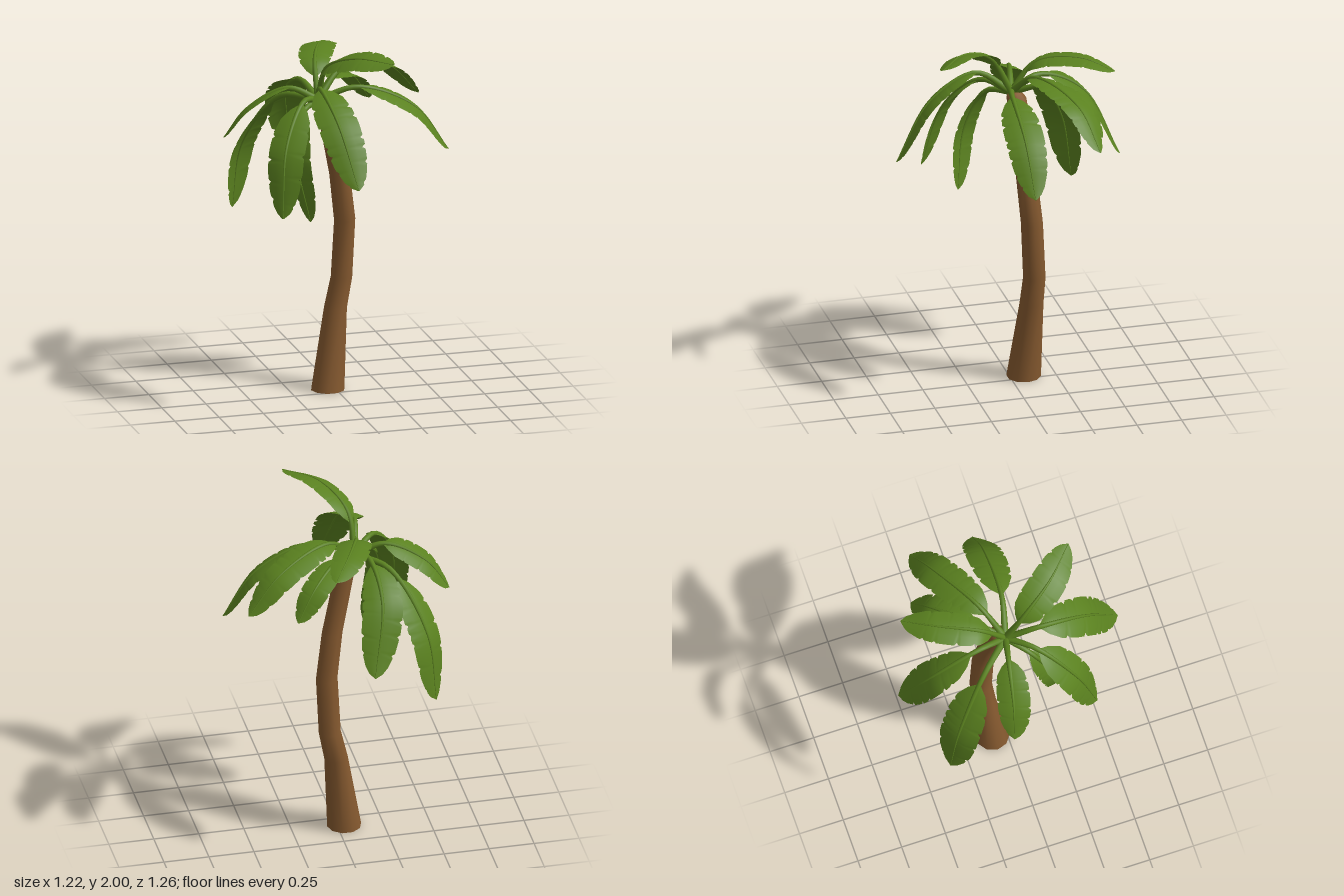
import * as THREE from 'three';

const V = (x, y, z) => new THREE.Vector3(x, y, z);
const UP = V(0, 1, 0);

// Perpendicular pair for a direction, kept close to a wanted side vector
function frame(T, side) {
  const N = side.clone().cross(T).normalize();
  return { S: T.clone().cross(N).normalize(), N };
}

function makeGeometry(pos, index) {
  const g = new THREE.BufferGeometry();
  g.setAttribute('position', new THREE.Float32BufferAttribute(pos, 3));
  g.setIndex(index);
  g.computeVertexNormals();
  return g;
}

// Tapered round sweep; rings are { p, T, r }
function loft(rings, side, sides) {
  const pos = [], index = [];
  rings.forEach(({ p, T, r }, i) => {
    const { S, N } = frame(T, side);
    for (let k = 0; k < sides; k++) {
      const a = (k / sides) * Math.PI * 2;
      const q = p.clone().addScaledVector(S, Math.cos(a) * r).addScaledVector(N, Math.sin(a) * r);
      pos.push(q.x, q.y, q.z);
      if (i === 0) continue;
      const b = i * sides + k, b2 = i * sides + ((k + 1) % sides);
      index.push(b - sides, b, b2 - sides, b2 - sides, b, b2);
    }
  });
  return makeGeometry(pos, index);
}

function seeded(seed) {
  let s = seed;
  return () => (s = (s * 16807) % 2147483647) / 2147483647;
}

// Half width of the blade from its base (0) to its tip (1)
const OUTLINE = [[0, 0.12], [0.06, 0.48], [0.16, 0.82], [0.3, 0.97], [0.45, 1], [0.62, 0.97],
  [0.78, 0.83], [0.9, 0.57], [0.96, 0.34], [1, 0.03]];
function outline(u) {
  let i = 1;
  while (i < OUTLINE.length - 1 && OUTLINE[i][0] < u) i++;
  const [u0, w0] = OUTLINE[i - 1], [u1, w1] = OUTLINE[i];
  return w0 + ((w1 - w0) * (u - u0)) / (u1 - u0);
}

// Leaf sheet with drooping sides and torn notches along both edges
function bladeGeometry(curve, start, side, width, seed) {
  const rows = 50, cols = [-1, -0.5, 0, 0.5, 1], n = cols.length;
  const rand = seeded(seed * 7919 + 13);
  const notches = [-1, 1].map(() => {
    const list = new Array(rows + 1).fill(1);
    for (let i = 10 + Math.floor(rand() * 8); i < rows - 1; i += 4 + Math.floor(rand() * 8)) {
      list[i] = 0.82 + rand() * 0.1;
    }
    return list;
  });
  const pos = [], index = [];
  for (let i = 0; i <= rows; i++) {
    const u = i / rows, t = start + (1 - start) * u;
    const p = curve.getPointAt(t);
    const { S, N } = frame(curve.getTangentAt(t), side);
    cols.forEach((c, j) => {
      const torn = Math.abs(c) === 1 ? notches[c < 0 ? 0 : 1][i] : 1;
      const w = width * outline(u);
      const q = p.clone().addScaledVector(S, c * w * torn).addScaledVector(N, -0.18 * w * c * c);
      pos.push(q.x, q.y, q.z);
      if (i < rows && j < n - 1) {
        const a = i * n + j;
        index.push(a, a + 1, a + n, a + 1, a + n + 1, a + n);
      }
    });
  }
  return makeGeometry(pos, index);
}

// All ribs spring from the crown; each leaf adds a shoulder, a bend and a tip.
// roll is the sideways tilt of the blade in radians
const CROWN = V(-0.11, 1.665, -0.025);
const LEAVES = [
  { start: 0.27, width: 0.105, roll: 0.14, rib: [[0.1, 1.735, 0.025], [0.42, 1.6, 0.035], [0.61, 1.34, 0.03]] },
  { start: 0.21, width: 0.1, roll: -0.15, rib: [[0.06, 1.81, -0.12], [0.36, 1.745, -0.28], [0.55, 1.55, -0.35]] },
  { start: 0.2, width: 0.095, roll: 0, rib: [[-0.09, 1.84, -0.16], [0, 1.873, -0.38], [0.11, 1.82, -0.55]] },
  { start: 0.28, width: 0.085, roll: 0, rib: [[0.03, 1.74, -0.2], [0.18, 1.68, -0.355], [0.295, 1.52, -0.43]] },
  { start: 0.27, width: 0.11, roll: 0.25, rib: [[-0.155, 1.73, -0.2], [-0.17, 1.6, -0.45], [-0.09, 1.235, -0.63]] },
  { start: 0.3, width: 0.115, roll: 0, rib: [[-0.27, 1.65, -0.2], [-0.43, 1.34, -0.395], [-0.467, 0.957, -0.46]] },
  { start: 0.27, width: 0.092, roll: 0.25, rib: [[-0.27, 1.735, -0.06], [-0.49, 1.625, -0.105], [-0.61, 1.46, -0.14]] },
  { start: 0.24, width: 0.106, roll: 0, rib: [[-0.235, 1.7, 0.11], [-0.38, 1.5, 0.285], [-0.43, 1.14, 0.392]] },
  { start: 0.2, width: 0.083, roll: 0.3, rib: [[-0.23, 1.63, 0.085], [-0.29, 1.4, 0.19], [-0.23, 1.06, 0.24]] },
  { start: 0.25, width: 0.11, roll: 0.2, rib: [[-0.15, 1.782, 0.16], [-0.125, 1.66, 0.42], [-0.07, 1.34, 0.63]] },
  { start: 0.25, width: 0.1, roll: 0.4, rib: [[-0.095, 1.88, 0.09], [0.02, 1.975, 0.275], [0.187, 1.975, 0.435]] },
];

// Trunk rings: x, y, z, radius
const TRUNK = [
  [-0.04, 0, -0.077, 0.094], [0.012, 0.45, -0.107, 0.065], [0.048, 0.62, -0.113, 0.061],
  [0.061, 0.95, -0.096, 0.06], [0.026, 1.22, -0.075, 0.058], [-0.045, 1.56, -0.053, 0.055],
  [-0.075, 1.645, -0.045, 0.054], [-0.085, 1.672, -0.04, 0.036], [-0.085, 1.675, -0.04, 0],
];

export function createModel() {
  const bark = new THREE.MeshStandardMaterial({ color: 0x85592f, side: THREE.DoubleSide });
  bark.name = 'bark brown';
  const leafGreen = new THREE.MeshStandardMaterial({ color: 0x5a811f, side: THREE.DoubleSide });
  leafGreen.name = 'leaf green';

  const tree = new THREE.Group();
  tree.name = 'palmTree';
  const add = (parent, name, geometry, material) => {
    const mesh = new THREE.Mesh(geometry, material);
    mesh.name = name;
    parent.add(mesh);
  };

  // Bent trunk, open underneath
  const trunkRings = TRUNK.map(([x, y, z, r]) => ({ p: V(x, y, z), T: UP, r }));
  add(tree, 'trunk', loft(trunkRings, V(1, 0, 0), 10), bark);

  // Crown of leaves
  LEAVES.forEach(({ rib, start, width, roll }, i) => {
    const points = [CROWN, ...rib.map((p) => V(...p))];
    const curve = new THREE.CatmullRomCurve3(points);
    const chord = points[3].clone().sub(CROWN).normalize();
    const side = points[2].clone().sub(CROWN).setY(0).cross(UP).normalize().applyAxisAngle(chord, roll);
    const leaf = new THREE.Group();
    leaf.name = 'leaf' + (i + 1);

    // Stem that thins into the midrib
    const rings = [];
    for (let k = 0; k <= 22; k++) {
      const t = k / 22;
      const r = t < start ? 0.02 - 0.006 * (t / start) : 0.002 + 0.012 * Math.pow((1 - t) / (1 - start), 1.3);
      rings.push({ p: curve.getPointAt(t), T: curve.getTangentAt(t), r });
    }
    add(leaf, 'stem', loft(rings, side, 8), leafGreen);
    add(leaf, 'blade', bladeGeometry(curve, start, side, width, i + 1), leafGreen);
    tree.add(leaf);
  });
  return tree;
}
